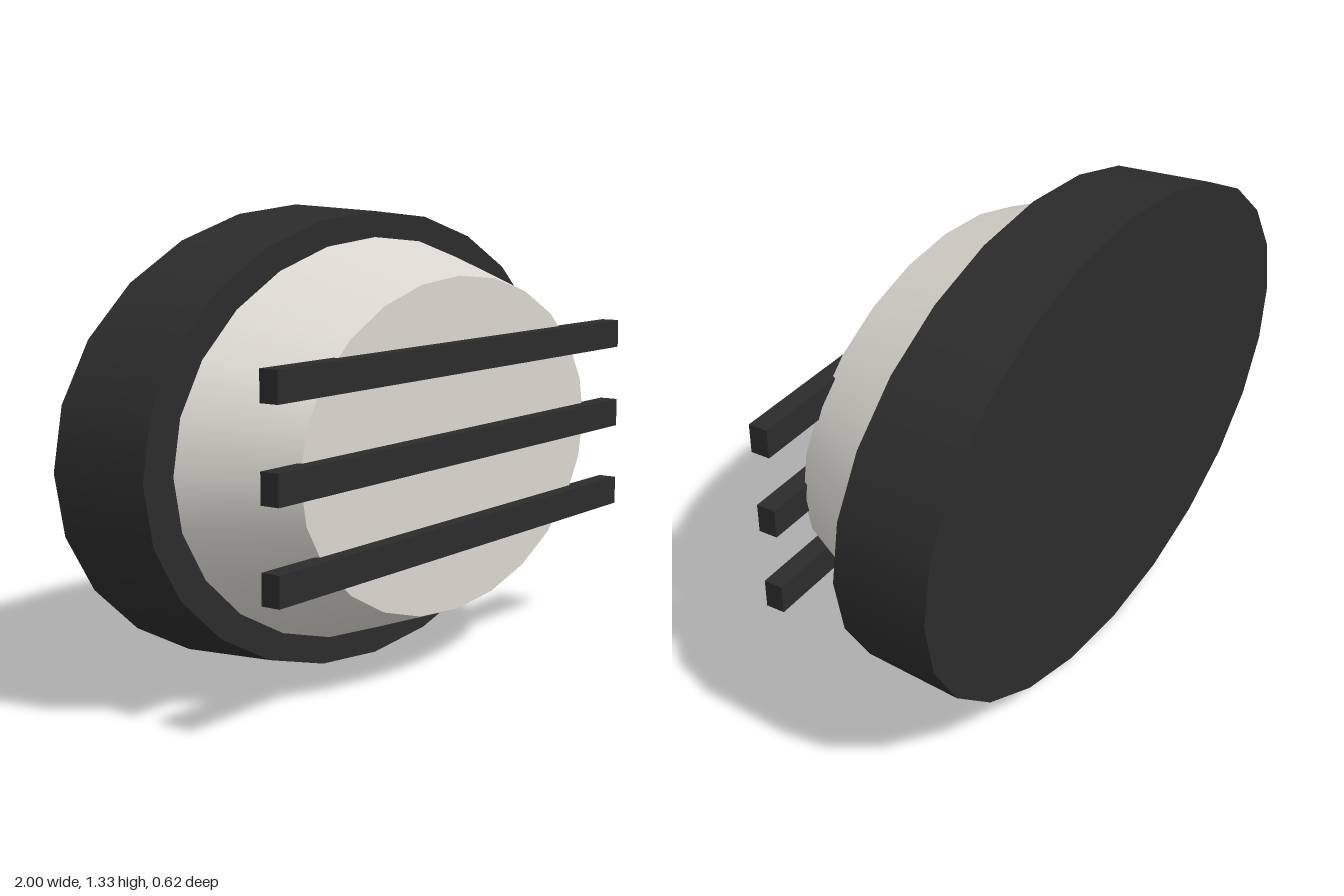
import * as THREE from 'three';

const CENTRE_Y = 0.667;
const ASPECT = 0.667; // height / width of the oval

export function createModel() {
  const group = new THREE.Group();
  const black = new THREE.MeshStandardMaterial({ color: 0x2b2b2b });
  black.name = 'black plastic';
  const glass = new THREE.MeshStandardMaterial({ color: 0xd8d6ce });
  glass.name = 'pale lens';

  const add = (name, geometry, material) => {
    const mesh = new THREE.Mesh(geometry, material);
    mesh.name = name;
    group.add(mesh);
    return mesh;
  };

  // Tapered oval drum running along z
  const ovalDrum = (frontRadius, backRadius, zFront, zBack) =>
    new THREE.CylinderGeometry(frontRadius, backRadius, zFront - zBack, 24)
      .rotateX(Math.PI / 2)
      .scale(1, ASPECT, 1)
      .translate(0, CENTRE_Y, (zFront + zBack) / 2);

  // Housing and the lens bulging from its front
  add('housing', ovalDrum(0.977, 1, -0.022, -0.312), black);
  add('lens', ovalDrum(0.715, 0.875, 0.268, -0.04), glass);

  // Horizontal guard bars across the lens
  for (const [i, offset] of [-0.253, 0, 0.253].entries()) {
    const bar = add(`guardBar${i + 1}`, new THREE.BoxGeometry(1.71, 0.085, 0.057), black);
    bar.position.set(0, CENTRE_Y + offset, 0.2835);
  }

  return group;
}
